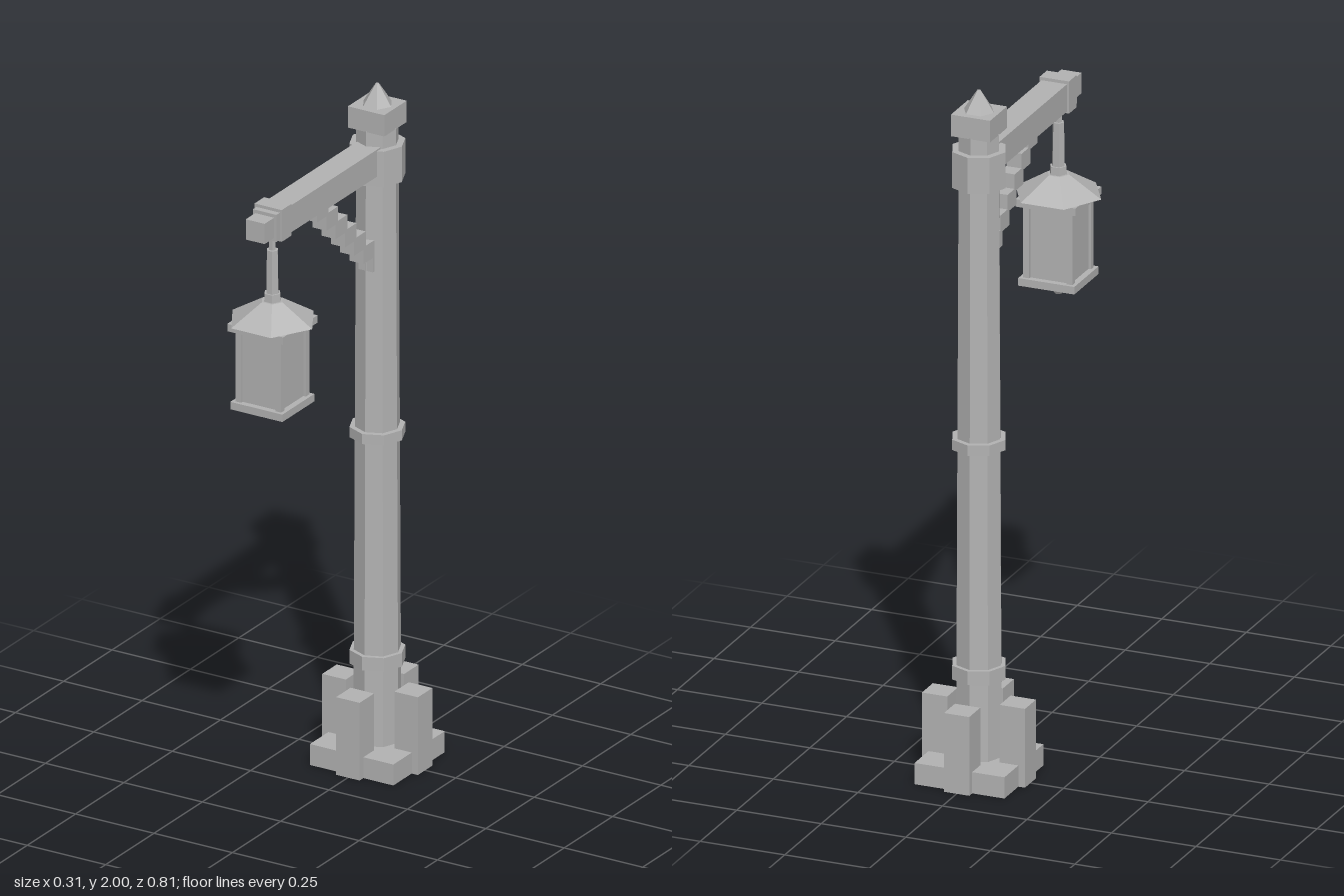
import * as THREE from 'three';

const POST_Z = -0.25;
const LAMP_Z = 0.293;

export function createModel() {
  const model = new THREE.Group();
  model.name = 'lampPost';
  const grey = new THREE.MeshStandardMaterial({ color: 0xb3b3b3, flatShading: true });
  grey.name = 'plain grey';

  const add = (parent, name, geometry, x, y, z) => {
    const mesh = new THREE.Mesh(geometry, grey);
    mesh.name = name;
    mesh.position.set(x, y, z);
    parent.add(mesh);
    return mesh;
  };
  // Box between two heights, centred on x and z
  const box = (parent, name, w, d, y0, y1, x, z) =>
    add(parent, name, new THREE.BoxGeometry(w, y1 - y0, d), x, (y0 + y1) / 2, z);
  // Faceted column between two heights; turn rotates the corners
  const column = (parent, name, sides, rBottom, rTop, y0, y1, z, turn = 0) => {
    const geometry = new THREE.CylinderGeometry(rTop, rBottom, y1 - y0, sides);
    geometry.rotateY(turn);
    return add(parent, name, geometry, 0, (y0 + y1) / 2, z);
  };
  const group = (name) => {
    const g = new THREE.Group();
    g.name = name;
    model.add(g);
    return g;
  };

  // Plinth with four upright blocks around the post
  const base = group('base');
  box(base, 'plinth', 0.266, 0.266, 0, 0.062, 0, POST_Z);
  for (const [dx, dz] of [[1, 0], [-1, 0], [0, 1], [0, -1]]) {
    box(base, 'baseBlock', 0.075, 0.075, 0, 0.23, dx * 0.115, POST_Z + dz * 0.115);
  }

  // Octagonal post, collars and finial
  const post = group('post');
  column(post, 'shaft', 8, 0.067, 0.059, 0.05, 1.88, POST_Z);
  for (const [y0, y1] of [[0.29, 0.33], [0.96, 0.99], [1.725, 1.83]]) {
    column(post, 'collar', 8, 0.078, 0.078, y0, y1, POST_Z);
  }
  box(post, 'capBlock', 0.116, 0.116, 1.877, 1.94, 0, POST_Z);
  column(post, 'finial', 6, 0.044, 0.005, 1.94, 2, POST_Z, Math.PI / 6);

  // Arm with a band and a narrower tip
  const arm = group('arm');
  box(arm, 'beam', 0.075, 0.583, 1.755, 1.835, 0, 0.0415);
  box(arm, 'armBand', 0.087, 0.05, 1.75, 1.844, 0, 0.29);
  box(arm, 'armTip', 0.06, 0.05, 1.765, 1.825, 0, 0.357);

  // Stepped brace under the arm
  for (let i = 0; i < 7; i++) {
    const y = 1.747 - i * 0.0425;
    box(arm, 'braceStep', 0.045, 0.06, y - 0.025, y + 0.025, 0, 0.068 - i * 0.048);
  }

  // Hanging lantern
  const lantern = group('lantern');
  column(lantern, 'hook', 6, 0.01, 0.01, 1.7, 1.76, LAMP_Z, Math.PI / 6);
  column(lantern, 'hanger', 6, 0.019, 0.017, 1.55, 1.71, LAMP_Z, Math.PI / 6);
  column(lantern, 'roofCollar', 6, 0.026, 0.024, 1.55, 1.583, LAMP_Z, Math.PI / 6);
  column(lantern, 'roof', 6, 0.127, 0.032, 1.502, 1.56, LAMP_Z, Math.PI / 6);
  box(lantern, 'topPlate', 0.178, 0.178, 1.48, 1.502, 0, LAMP_Z);
  box(lantern, 'panes', 0.13, 0.13, 1.265, 1.485, 0, LAMP_Z);
  for (const sx of [-1, 1]) {
    for (const sz of [-1, 1]) {
      box(lantern, 'cornerPost', 0.018, 0.018, 1.265, 1.485, sx * 0.064, LAMP_Z + sz * 0.064);
    }
  }
  box(lantern, 'bottomPlate', 0.166, 0.166, 1.248, 1.27, 0, LAMP_Z);
  column(lantern, 'bottomKnob', 6, 0.011, 0.035, 1.21, 1.25, LAMP_Z, Math.PI / 6);

  return model;
}
